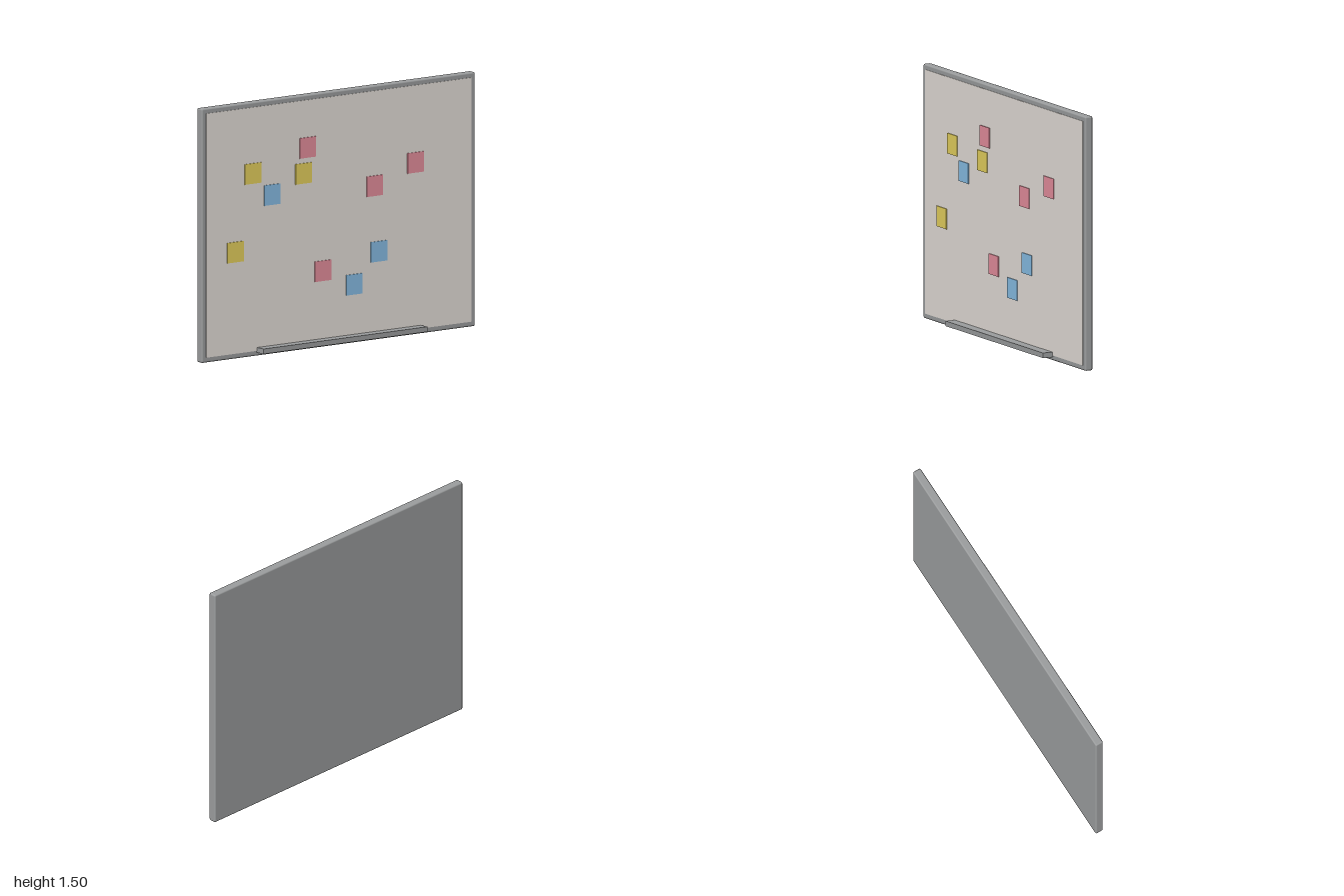
import * as THREE from 'three';
import { RoundedBoxGeometry } from 'three/addons/geometries/RoundedBoxGeometry.js';

function material(name, color) {
  const m = new THREE.MeshStandardMaterial({ color });
  m.name = name;
  return m;
}

export function createModel() {
  const model = new THREE.Group();
  model.name = 'whiteboard';

  const grey = material('frame grey', 0x9c9e9f);
  const white = material('board off-white', 0xe6e0da);
  const yellow = material('note yellow', 0xe8d35f);
  const pink = material('note pink', 0xe8909f);
  const blue = material('note blue', 0x8cc3ec);

  const add = (name, geometry, mat, x, y, z, parent = model) => {
    const mesh = new THREE.Mesh(geometry, mat);
    mesh.name = name;
    mesh.position.set(x, y, z);
    parent.add(mesh);
    return mesh;
  };

  // Softly bevelled backing frame
  add('frame', new RoundedBoxGeometry(2, 1.5, 0.05, 2, 0.01), grey, 0, 0.75, -0.033);

  // Writing surface, slightly proud of the frame
  add('writingSurface', new THREE.BoxGeometry(1.94, 1.44, 0.008), white, 0, 0.75, -0.009);

  // Pen tray
  add('penTray', new THREE.BoxGeometry(1.2, 0.03, 0.07), grey, 0, 0.035, 0.023);

  // Sticky notes: material, centre x, centre y
  const notes = new THREE.Group();
  notes.name = 'stickyNotes';
  model.add(notes);
  const noteShape = new THREE.BoxGeometry(0.12, 0.12, 0.006);
  [
    [yellow, -0.63, 1.08], [yellow, -0.26, 1.04], [yellow, -0.76, 0.63],
    [pink, -0.23, 1.19], [pink, 0.26, 0.91], [pink, 0.56, 1.015], [pink, -0.12, 0.45],
    [blue, -0.49, 0.94], [blue, 0.29, 0.52], [blue, 0.11, 0.345],
  ].forEach(([mat, x, y]) => add('stickyNote', noteShape, mat, x, y, -0.003, notes));

  return model;
}
